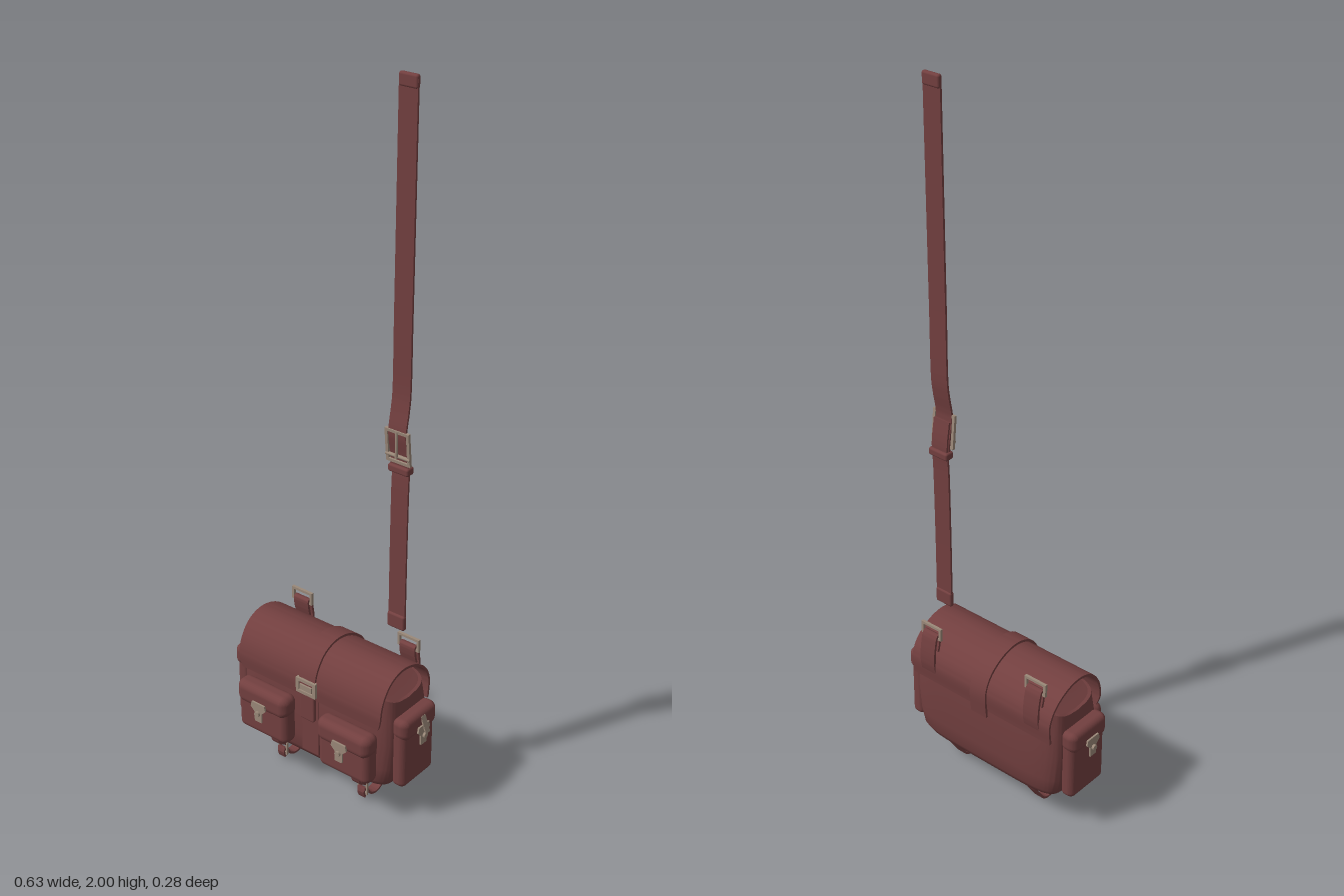
import * as THREE from 'three';
import { toCreasedNormals } from 'three/addons/utils/BufferGeometryUtils.js';
import { RoundedBoxGeometry } from 'three/addons/geometries/RoundedBoxGeometry.js';

const leather = new THREE.MeshStandardMaterial({ color: 0x723f3f });
leather.name = 'brown leather';
const metal = new THREE.MeshStandardMaterial({ color: 0x9a8878 });
metal.name = 'dull brass';

function add(parent, name, geo, mat, x = 0, y = 0, z = 0) {
  const m = new THREE.Mesh(geo, mat);
  m.name = name;
  m.position.set(x, y, z);
  parent.add(m);
  return m;
}

// Strip of leather following a (z, y) path, with its width along x
function ribbon(path, width, thick, steps = 40) {
  const curve = new THREE.CatmullRomCurve3(path.map(([z, y]) => new THREE.Vector3(z, y, 0)), false, 'centripetal');
  const a = [], b = [];
  for (let i = 0; i <= steps; i++) {
    const p = curve.getPoint(i / steps), t = curve.getTangent(i / steps);
    a.push(new THREE.Vector2(p.x - t.y * thick / 2, p.y + t.x * thick / 2));
    b.unshift(new THREE.Vector2(p.x + t.y * thick / 2, p.y - t.x * thick / 2));
  }
  const geo = new THREE.ExtrudeGeometry(new THREE.Shape([...a, ...b]), { depth: width, bevelEnabled: false });
  geo.rotateY(-Math.PI / 2).translate(width / 2, 0, 0);
  return toCreasedNormals(geo, 0.7);
}

// Rectangular metal ring in the xy plane
function frame(w, h, t, depth) {
  const rect = (P, x, y) => new P([[-x, -y], [x, -y], [x, y], [-x, y]].map(p => new THREE.Vector2(...p)));
  const s = rect(THREE.Shape, w / 2, h / 2);
  s.holes.push(rect(THREE.Path, w / 2 - t, h / 2 - t));
  return new THREE.ExtrudeGeometry(s, { depth, bevelEnabled: false }).translate(0, 0, -depth / 2);
}

// Closed loft of rounded-rectangle rings; row = [y, halfX, halfZ, dip]
function loft(rows, n, zc) {
  const pos = [], idx = [];
  const pw = v => Math.sign(v) * Math.abs(v) ** 0.36;
  rows.forEach(([y, hx, hz, dip = 0]) => {
    for (let j = 0; j < n; j++) {
      const t = (j / n) * Math.PI * 2, z = pw(Math.sin(t));
      pos.push(hx * pw(Math.cos(t)), y + dip * z * z, zc + hz * z);
    }
  });
  for (let i = 0; i < rows.length - 1; i++) for (let j = 0; j < n; j++) {
    const k = (j + 1) % n, a = i * n + j, d = i * n + k;
    idx.push(a, a + n, d, a + n, d + n, d);
  }
  const g = new THREE.BufferGeometry();
  g.setAttribute('position', new THREE.Float32BufferAttribute(pos, 3));
  g.setIndex(idx);
  return toCreasedNormals(g, 0.9);
}

// Rounded box whose front bulges outwards in the middle
function bulged(w, h, d, bulge, sag = 0) {
  const g = new RoundedBoxGeometry(w, h, d, 6, Math.min(d, h) * 0.4);
  const p = g.attributes.position;
  for (let i = 0; i < p.count; i++) {
    const u = Math.max(0, 1 - (2 * p.getX(i) / w) ** 2);
    if (p.getZ(i) > 0) p.setZ(i, p.getZ(i) + bulge * u);
    if (p.getY(i) < 0) p.setY(i, p.getY(i) - sag * u);
  }
  g.computeVertexNormals();
  return g;
}

// Shield-shaped clasp with a turn knob
function clasp(parent, x, y, z) {
  const g = new THREE.Group();
  g.name = 'clasp';
  const s = new THREE.Shape([[-0.012, -0.035], [0.012, -0.035], [0.013, -0.005], [0.026, 0.008], [0.022, 0.024],
    [-0.022, 0.024], [-0.026, 0.008], [-0.013, -0.005]].map(p => new THREE.Vector2(...p)));
  add(g, 'claspPlate', new THREE.ExtrudeGeometry(s, { depth: 0.005, bevelEnabled: false }), metal);
  add(g, 'claspKnob', new THREE.CylinderGeometry(0.008, 0.008, 0.01, 16).rotateX(Math.PI / 2), metal, 0, -0.008, 0.007);
  g.position.set(x, y, z);
  parent.add(g);
  return g;
}

// Pocket with lid and clasp, its back on z = 0 and base on y = 0
function pocket(name, w, h, d, lidH) {
  const g = new THREE.Group();
  g.name = name;
  add(g, 'pocketBody', bulged(w, h - 0.01, d, 0.008), leather, 0, h / 2 - 0.005, d / 2);
  add(g, 'pocketLid', bulged(w + 0.006, lidH, d + 0.006, 0.01, 0.012), leather, 0, h - lidH / 2, d / 2 + 0.003);
  clasp(g, 0, h - lidH, d + 0.013);
  return g;
}

export function createModel() {
  const model = new THREE.Group();
  model.name = 'shoulderBag';
  const bag = new THREE.Group();
  bag.name = 'bag';
  bag.position.x = -0.007;
  model.add(bag);

  // Hollow body with a dipped rim at the ends
  add(bag, 'body', loft([
    [0.09, 0, 0], [0.09, 0.21, 0.07], [0.097, 0.234, 0.084], [0.115, 0.248, 0.092], [0.16, 0.256, 0.097],
    [0.24, 0.262, 0.099], [0.31, 0.26, 0.098, 0.01], [0.36, 0.252, 0.092, 0.028], [0.362, 0.244, 0.085, 0.028],
    [0.3, 0.246, 0.088], [0.13, 0.235, 0.08], [0.125, 0, 0],
  ], 96, -0.022), leather);

  // Flap arching over the top, its front corners drawn in
  const flap = ribbon([[-0.121, 0.3], [-0.124, 0.36], [-0.103, 0.403], [-0.055, 0.437], [-0.003, 0.447],
    [0.042, 0.432], [0.073, 0.395], [0.086, 0.35], [0.084, 0.305]], 0.486, 0.007, 48);
  const fp = flap.attributes.position;
  for (let i = 0; i < fp.count; i++) {
    const k = fp.getZ(i) > 0 ? Math.max(0, (0.35 - fp.getY(i)) / 0.05) : 0;
    fp.setX(i, fp.getX(i) * (1 - 0.05 * k * k));
  }
  add(bag, 'flap', flap, leather);

  // Closing strap, buckle, tongue and centre band
  add(bag, 'closingStrap', ribbon([[-0.127, 0.28], [-0.13, 0.36], [-0.107, 0.409], [-0.057, 0.444], [-0.003, 0.454],
    [0.046, 0.438], [0.079, 0.398], [0.092, 0.35], [0.091, 0.335]], 0.054, 0.007), leather);
  add(bag, 'strapBuckle', frame(0.066, 0.046, 0.009, 0.01), metal, 0, 0.342, 0.095);
  add(bag, 'bucklePlate', new THREE.BoxGeometry(0.04, 0.016, 0.009), metal, 0, 0.34, 0.096);
  add(bag, 'strapTongue', bulged(0.05, 0.095, 0.012, 0.002, 0.008), leather, 0, 0.285, 0.088);
  add(bag, 'centreBand', new THREE.BoxGeometry(0.056, 0.2, 0.006), leather, 0, 0.22, 0.076);

  // Two front pockets and two end pockets
  for (const s of [-1, 1]) {
    const front = pocket('frontPocket', 0.172, 0.152, 0.047, 0.062);
    front.position.set(s * 0.14, 0.132, 0.069);
    bag.add(front);
    const end = pocket('endPocket', 0.138, 0.215, 0.038, 0.058);
    end.position.set(s * 0.25, 0.115, -0.02);
    end.rotation.y = s * Math.PI / 2;
    bag.add(end);
  }
  // Loose clasp tongue on the left end
  const loose = add(bag, 'looseClasp', new THREE.BoxGeometry(0.004, 0.05, 0.018), metal, 0.305, 0.295, -0.025);
  loose.rotation.z = 0.35;

  // Rear tabs with rectangular rings, and the hanging straps beneath
  for (const s of [-1, 1]) {
    const x = s * 0.183;
    add(bag, 'rearTab', ribbon([[-0.122, 0.32], [-0.129, 0.36], [-0.126, 0.41], [-0.115, 0.45], [-0.107, 0.449],
      [-0.108, 0.425], [-0.114, 0.4]], 0.05, 0.007), leather, x);
    add(bag, 'rearRing', frame(0.07, 0.038, 0.007, 0.008), metal, x, 0.457, -0.111);

    const bx = s * 0.142;
    add(bag, 'underStrap', ribbon([[-0.092, 0.11], [-0.076, 0.068], [-0.058, 0.04], [-0.035, 0.01], [-0.012, 0.005],
      [0.01, 0.015], [0.026, 0.038], [0.036, 0.04]], 0.026, 0.006), leather, bx);
    add(bag, 'underTab', ribbon([[0.065, 0.11], [0.056, 0.076], [0.04, 0.064], [0.028, 0.055]], 0.026, 0.006), leather, bx);
    add(bag, 'underBuckle', frame(0.032, 0.04, 0.005, 0.006), metal, bx, 0.04, 0.028);
    add(bag, 'underStrapEnd', ribbon([[0.032, 0.045], [0.036, 0.03], [0.03, 0.012]], 0.022, 0.006), leather, bx);
  }

  // Long shoulder strap standing above the bag
  const strap = new THREE.Group();
  strap.name = 'shoulderStrap';
  strap.position.x = 0.171;
  model.add(strap);
  add(strap, 'upperStrap', ribbon([[-0.064, 0.985], [-0.058, 1.04], [-0.049, 1.1], [-0.058, 1.16], [-0.063, 1.2],
    [-0.064, 1.4], [-0.065, 1.7], [-0.066, 1.99]], 0.054, 0.006, 60), leather);
  add(strap, 'lowerStrap', ribbon([[-0.063, 0.53], [-0.063, 0.75], [-0.065, 0.95], [-0.068, 1.02], [-0.058, 1.09]],
    0.052, 0.006), leather);
  add(strap, 'topFold', new RoundedBoxGeometry(0.055, 0.034, 0.014, 3, 0.006), leather, 0, 1.983, -0.067);
  add(strap, 'bottomFold', new RoundedBoxGeometry(0.055, 0.044, 0.015, 3, 0.006), leather, 0, 0.547, -0.062);
  add(strap, 'strapKeeper', new RoundedBoxGeometry(0.064, 0.022, 0.028, 3, 0.006), leather, 0, 0.996, -0.065);
  const buckle = add(strap, 'strapBuckle', frame(0.074, 0.095, 0.008, 0.008), metal, 0, 1.062, -0.052);
  buckle.rotation.x = 0.1;
  add(strap, 'bucklePin', new THREE.CylinderGeometry(0.004, 0.004, 0.075, 10), metal, 0, 1.07, -0.045);
  add(strap, 'buckleBar', new THREE.CylinderGeometry(0.005, 0.005, 0.074, 10).rotateZ(Math.PI / 2), metal, 0, 1.035, -0.053);
  return model;
}
